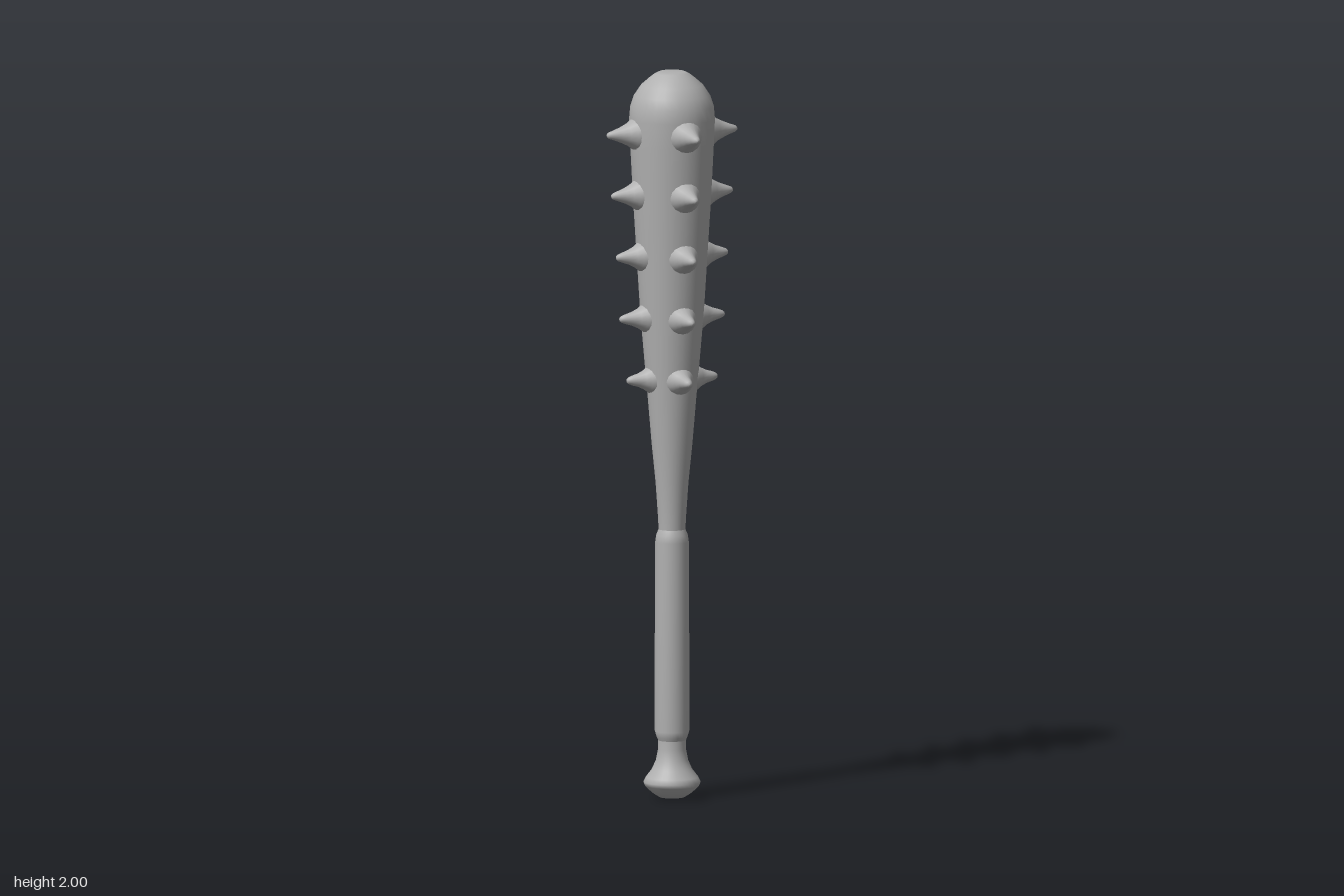
import * as THREE from 'three';

const grey = new THREE.MeshStandardMaterial({ color: 0xb0b0b0 });
grey.name = 'grey';

// Smooth lathe from [radius, y] pairs, listed bottom to top
function turned(name, profile, sides) {
  const points = profile.map(([r, y]) => new THREE.Vector2(r, y));
  const mesh = new THREE.Mesh(new THREE.LatheGeometry(points, sides), grey);
  mesh.name = name;
  return mesh;
}

export function createModel() {
  const bat = new THREE.Group();
  bat.name = 'spikedBat';

  // Rounded pommel knob flaring out of the handle
  bat.add(turned('knob', [
    [0, 0], [0.035, 0.003], [0.055, 0.016], [0.074, 0.034], [0.078, 0.045],
    [0.072, 0.058], [0.055, 0.08], [0.044, 0.105], [0.038, 0.135], [0.038, 0.175],
  ], 32));

  // Wrapped grip, slightly thicker than the wood at either end
  bat.add(turned('grip', [
    [0.036, 0.155], [0.042, 0.168], [0.047, 0.185], [0.047, 0.45],
    [0.046, 0.705], [0.043, 0.725], [0.036, 0.742],
  ], 32));

  // Tapered barrel with a domed, blunt end
  bat.add(turned('barrel', [
    [0.036, 0.72], [0.038, 0.77], [0.045, 0.87], [0.056, 0.98], [0.066, 1.1],
    [0.075, 1.2], [0.087, 1.34], [0.097, 1.5], [0.107, 1.66], [0.114, 1.8],
    [0.117, 1.87], [0.114, 1.905], [0.104, 1.935], [0.085, 1.963],
    [0.062, 1.983], [0.046, 1.995], [0.035, 2], [0, 2],
  ], 32));

  // Five rings of four spikes: [height, barrel radius, tip distance]
  const rings = [
    [1.155, 0.070, 0.133], [1.325, 0.085, 0.154], [1.495, 0.097, 0.164],
    [1.665, 0.107, 0.178], [1.833, 0.115, 0.191],
  ];
  rings.forEach(([y, radius, tip], i) => {
    const ring = new THREE.Group();
    ring.name = `spikeRing${i + 1}`;
    ring.position.y = y;
    const length = tip - radius;
    const base = 0.85 + 0.15 * i / 4;
    for (let k = 0; k < 4; k++) {
      // Flared root sunk into the barrel, narrowing to a blunt tip
      const spike = turned('spike', [
        [0.05 * base, -0.02], [0.042 * base, 0], [0.031 * base, length * 0.2],
        [0.022 * base, length * 0.45], [0.014, length * 0.72],
        [0.009, length * 0.92], [0.005, length * 0.985], [0, length],
      ], 16);
      spike.rotation.z = -Math.PI / 2;
      spike.position.x = radius;
      const arm = new THREE.Group();
      arm.name = 'spikeMount';
      arm.rotation.y = k * Math.PI / 2;
      arm.add(spike);
      ring.add(arm);
    }
    bat.add(ring);
  });

  return bat;
}
